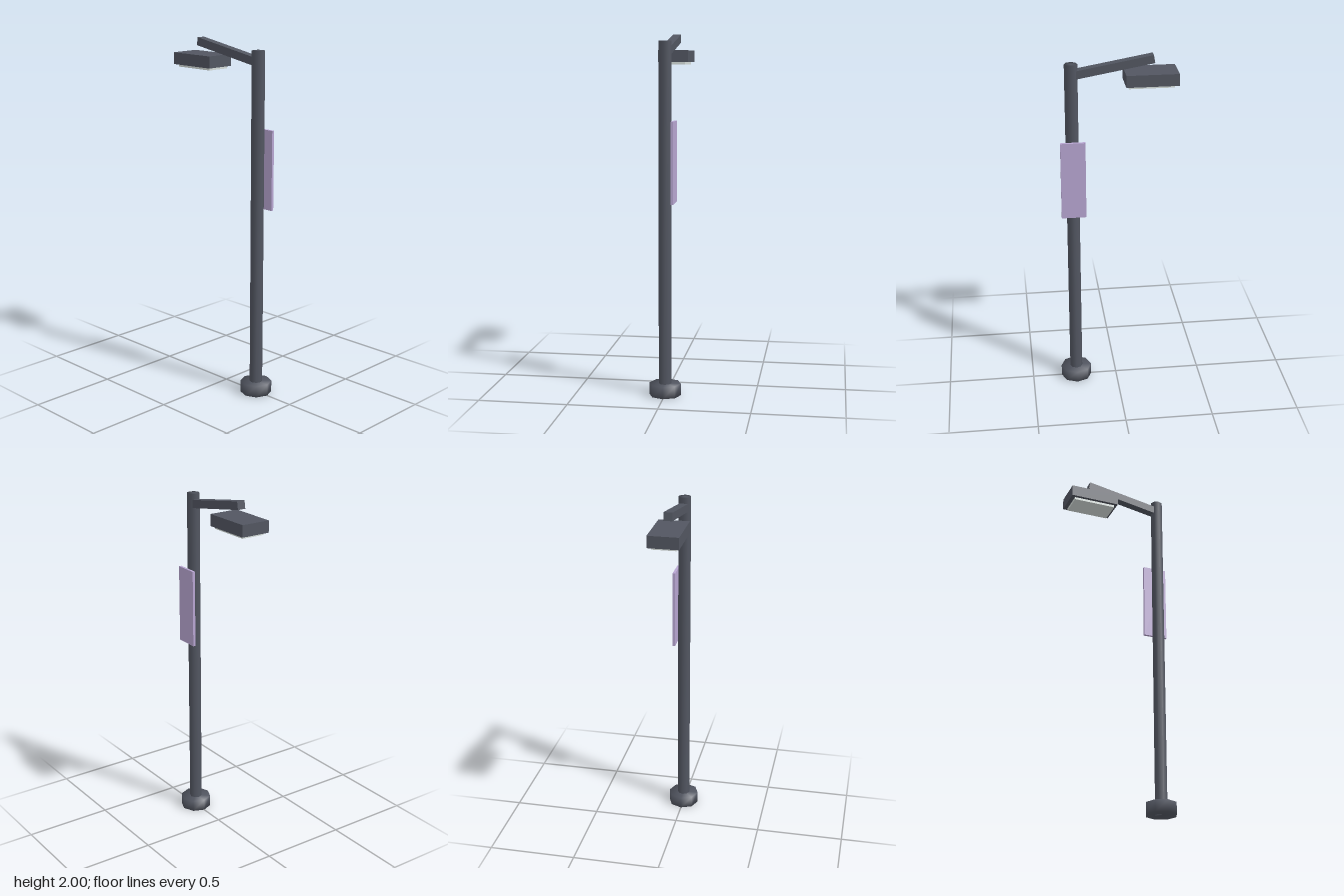
import * as THREE from 'three';
import { mergeVertices } from 'three/addons/utils/BufferGeometryUtils.js';

const POLE_Z = 0.24;

export function createModel() {
  const group = new THREE.Group();
  const metal = new THREE.MeshStandardMaterial({ color: 0x525661 });
  metal.name = 'darkMetal';
  const lilac = new THREE.MeshStandardMaterial({ color: 0xb8a6d2 });
  lilac.name = 'lilacBanner';
  const glass = new THREE.MeshStandardMaterial({ color: 0xd6dedb });
  glass.name = 'paleLens';

  const add = (name, geometry, material, x, y, z) => {
    const mesh = new THREE.Mesh(geometry, material);
    mesh.name = name;
    mesh.position.set(x, y, z);
    group.add(mesh);
    return mesh;
  };

  // Eight-sided post with normals smoothed across the rims
  const softPost = (radius, height) => {
    const g = new THREE.CylinderGeometry(radius, radius, height, 8);
    g.deleteAttribute('normal');
    g.deleteAttribute('uv');
    const merged = mergeVertices(g);
    merged.computeVertexNormals();
    return merged;
  };

  // Foot and pole
  add('base', softPost(0.089, 0.066), metal, 0, 0.033, POLE_Z);
  add('pole', softPost(0.036, 1.96), metal, 0, 0.98, POLE_Z);

  // Arm rising towards the back
  const arm = add('arm', new THREE.BoxGeometry(0.048, 0.045, 0.427), metal, 0, 1.941, 0.005);
  arm.rotation.x = THREE.MathUtils.degToRad(10);

  // Lamp head with the lens below it
  add('lampHead', new THREE.BoxGeometry(0.17, 0.066, 0.286), metal, 0, 1.878, -0.19);
  add('lens', new THREE.BoxGeometry(0.135, 0.02, 0.247), glass, 0, 1.841, -0.187);

  // Banner plate on the side of the pole
  add('banner', new THREE.BoxGeometry(0.015, 0.447, 0.138), lilac, 0.048, 1.306, POLE_Z);

  return group;
}
